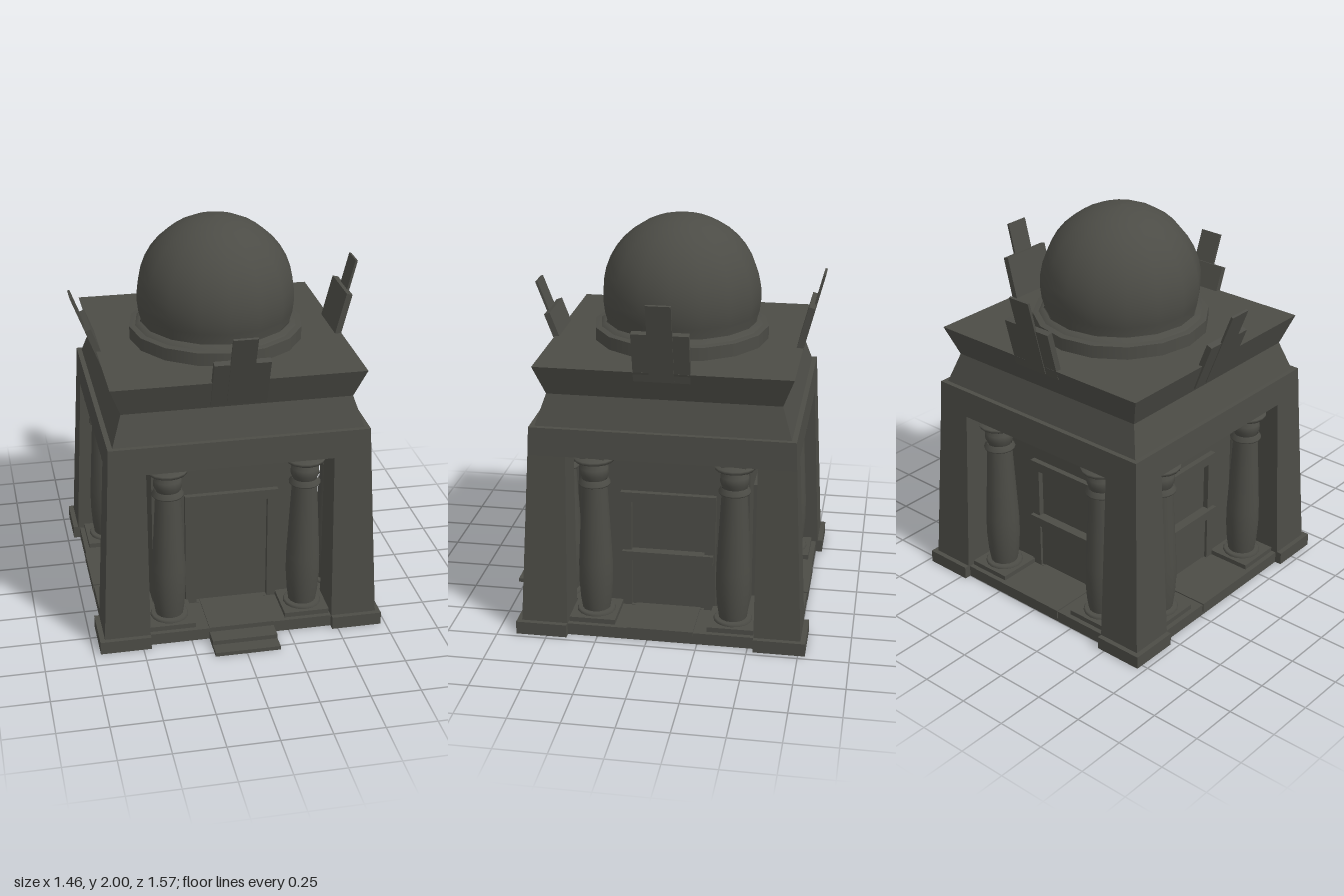
import * as THREE from 'three';

export function createModel() {
  const stone = new THREE.MeshStandardMaterial({ color: 0x4c4c46 });
  stone.name = 'darkStone';
  const model = new THREE.Group();
  const temple = new THREE.Group();
  temple.name = 'temple';
  temple.position.set(0.005, 0, -0.065);
  model.add(temple);

  const add = (parent, name, geo, x = 0, y = 0, z = 0) => {
    const m = new THREE.Mesh(geo, stone);
    m.name = name;
    m.position.set(x, y, z);
    parent.add(m);
    return m;
  };
  // box given by its ranges
  const block = (parent, name, x0, x1, y0, y1, z0, z1) =>
    add(parent, name, new THREE.BoxGeometry(x1 - x0, y1 - y0, z1 - z0), (x0 + x1) / 2, (y0 + y1) / 2, (z0 + z1) / 2);
  // square frustum with half widths at bottom and top
  const frustum = (name, r0, r1, y0, y1) => {
    const g = new THREE.BoxGeometry(2, y1 - y0, 2);
    const p = g.attributes.position;
    for (let i = 0; i < p.count; i++) {
      const r = p.getY(i) > 0 ? r1 : r0;
      p.setX(i, p.getX(i) * r);
      p.setZ(i, p.getZ(i) * r);
    }
    g.computeVertexNormals();
    return add(temple, name, g, 0, (y0 + y1) / 2, 0);
  };
  const rect = (C, x0, x1, y0, y1) => {
    const s = new C();
    s.moveTo(x0, y0); s.lineTo(x1, y0); s.lineTo(x1, y1); s.lineTo(x0, y1); s.closePath();
    return s;
  };
  const ringPlate = (outer, hole, depth) => {
    const s = rect(THREE.Shape, ...outer);
    s.holes.push(rect(THREE.Path, ...hole));
    return new THREE.ExtrudeGeometry(s, { depth, bevelEnabled: false });
  };
  const lathe = (pts, seg = 16) => new THREE.LatheGeometry(pts.map(([r, y]) => new THREE.Vector2(r, y)), seg);

  // floor with a square opening underneath
  const floorGeo = ringPlate([-0.685, 0.685, -0.685, 0.685], [-0.32, 0.32, -0.32, 0.32], 0.06);
  floorGeo.rotateX(-Math.PI / 2);
  add(temple, 'floor', floorGeo);

  // entablature, neck, flared cornice
  frustum('lintel', 0.651, 0.645, 0.94, 1.08);
  frustum('neck', 0.62, 0.57, 1.08, 1.23);
  frustum('cornice', 0.57, 0.625, 1.23, 1.38);

  // drum and dome
  add(temple, 'drum', lathe([[0.44, 1.38], [0.44, 1.445]]));
  add(temple, 'drumTop', lathe([[0.44, 1.445], [0.41, 1.45], [0.38, 1.45]]));
  const a0 = -0.36;
  const domePts = [[0.41, 1.45], [0.385, 1.47]];
  for (let i = 0; i <= 12; i++) {
    const a = a0 + (Math.PI / 2 - a0) * i / 12;
    domePts.push([Math.max(0, 0.4 * Math.cos(a)), 1.6 + 0.4 * Math.sin(a)]);
  }
  add(temple, 'dome', lathe(domePts, 16));

  // corner pier, battered on its two outer sides
  const pierGeo = new THREE.BoxGeometry(1, 1, 1);
  const pp = pierGeo.attributes.position;
  for (let i = 0; i < pp.count; i++) {
    const top = pp.getY(i) > 0;
    const outer = top ? 0.651 : 0.695;
    pp.setXYZ(i, pp.getX(i) > 0 ? outer : 0.465, top ? 0.94 : 0.06, pp.getZ(i) > 0 ? outer : 0.465);
  }
  pierGeo.computeVertexNormals();

  // column pieces
  const shaftGeo = lathe([[0.07, 0.1], [0.079, 0.16], [0.086, 0.26], [0.085, 0.36], [0.075, 0.55], [0.063, 0.77]]);
  const collarGeo = lathe([[0.06, 0.79], [0.078, 0.768], [0.08, 0.775], [0.066, 0.8]]);
  const budGeo = lathe([[0.056, 0.79], [0.072, 0.825], [0.07, 0.855], [0.05, 0.89], [0.05, 0.91]]);
  const leafGeo = lathe([[0.05, 0.885], [0.098, 0.895], [0.102, 0.912], [0.06, 0.92], [0.05, 0.92]]);
  const footGeo = lathe([[0.095, 0.08], [0.097, 0.09], [0.09, 0.1], [0.0, 0.1]]);

  const column = (side, x) => {
    const c = new THREE.Group();
    c.name = 'column';
    c.position.set(x, 0, 0.545);
    side.add(c);
    block(c, 'columnPlinth', -0.115, 0.115, 0.06, 0.085, -0.115, 0.115);
    add(c, 'columnFoot', footGeo);
    add(c, 'columnShaft', shaftGeo);
    add(c, 'columnCollar', collarGeo);
    add(c, 'columnBud', budGeo);
    add(c, 'columnLeaves', leafGeo);
    block(c, 'columnAbacus', -0.06, 0.06, 0.91, 0.945, -0.06, 0.06);
  };

  // leaning roof ornament: wide plaque with a tall tablet on its outside
  const ornament = (side, r0, y0, lean) => {
    const o = new THREE.Group();
    o.name = 'roofOrnament';
    o.position.set(0, y0, r0);
    o.rotation.x = lean;
    side.add(o);
    block(o, 'ornamentPlaque', -0.137, 0.137, 0, 0.26, -0.035, -0.004);
    block(o, 'ornamentTablet', -0.06, 0.06, 0.01, 0.418, -0.012, 0);
  };

  // four sides: 0 front, 1 left, 2 back, 3 right
  for (let k = 0; k < 4; k++) {
    const side = new THREE.Group();
    side.name = ['frontSide', 'leftSide', 'backSide', 'rightSide'][k];
    side.rotation.y = k * Math.PI / 2;
    temple.add(side);

    add(side, 'cornerPier', pierGeo);
    block(side, 'cornerBase', 0.465, 0.72, 0, 0.066, 0.465, 0.72);
    block(side, 'threshold', -0.165, 0.165, 0.02, 0.066, 0.41, 0.69);
    column(side, -0.345);
    column(side, 0.345);

    // inner chamber wall with door or window surround
    block(side, 'chamberWall', -0.405, 0.405, 0.05, 0.945, 0.375, 0.405);
    add(side, 'openingFrame', ringPlate([-0.24, 0.24, 0.06, 0.68], [-0.185, 0.185, 0.062, 0.63], 0.03), 0, 0, 0.404);
    if (k > 0) {
      block(side, 'windowParapet', -0.185, 0.185, 0.06, 0.32, 0.4, 0.42);
      block(side, 'windowSill', -0.23, 0.23, 0.32, 0.367, 0.4, 0.455);
    }
    const raised = k === 1 || k === 2;
    ornament(side, raised ? 0.615 : 0.588, raised ? 1.33 : 1.245, raised ? 0.253 : 0.367);
  }

  // entrance steps
  block(temple, 'lowerStep', -0.165, 0.165, 0, 0.02, 0.68, 0.85);
  block(temple, 'upperStep', -0.165, 0.165, 0.02, 0.042, 0.68, 0.777);

  return model;
}
